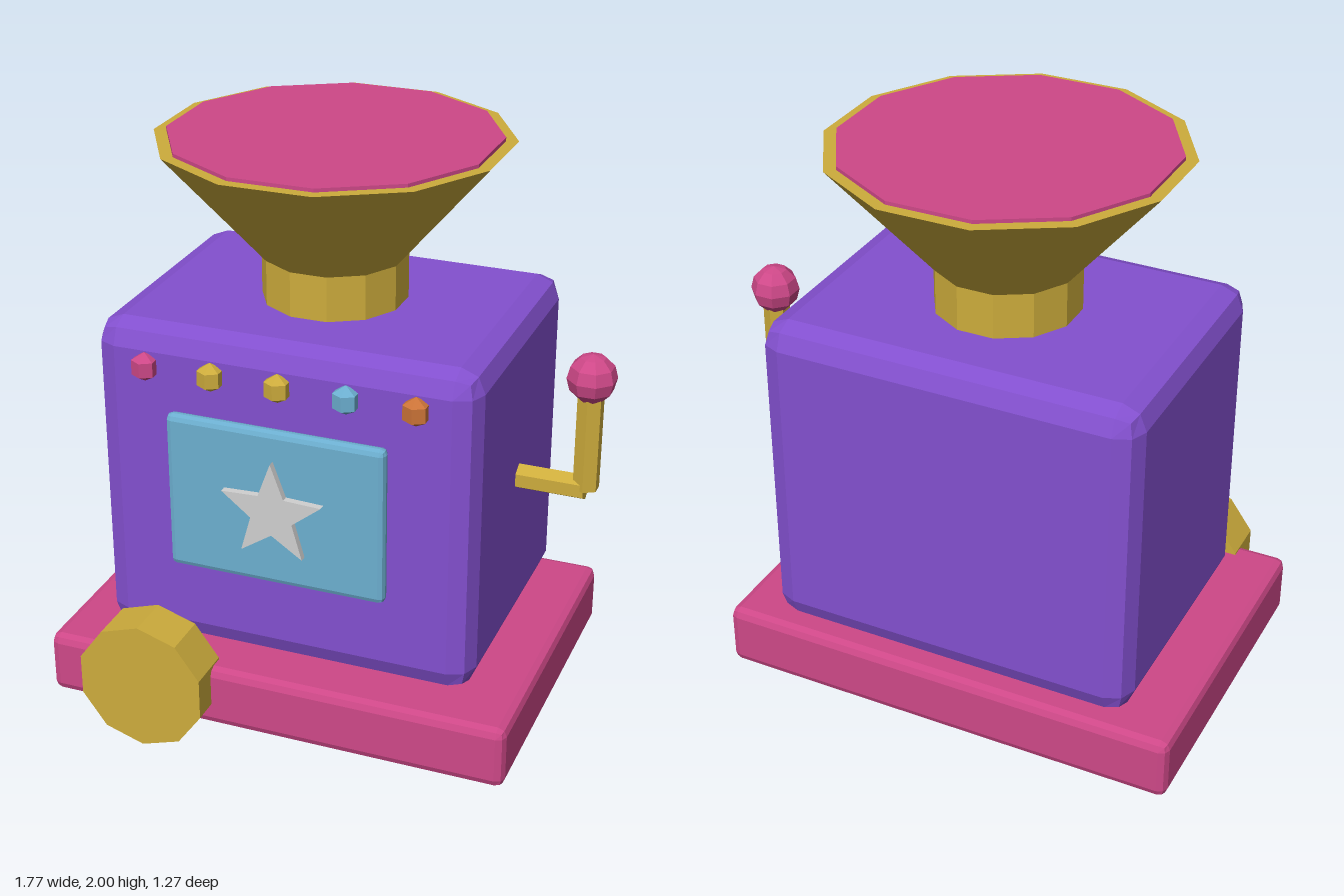
import * as THREE from 'three';
import { RoundedBoxGeometry } from 'three/addons/geometries/RoundedBoxGeometry.js';

export function createModel() {
  const model = new THREE.Group();
  model.name = 'crankMachine';

  const paint = (name, color) => {
    const m = new THREE.MeshStandardMaterial({ color, flatShading: true });
    m.name = name;
    return m;
  };
  const purple = paint('purple', 0x8350cf);
  const pink = paint('pink', 0xce4888);
  const gold = paint('gold', 0xcdac3c);
  const blue = paint('blue', 0x6cafd0);
  const orange = paint('orange', 0xcc7438);
  const silver = paint('silver', 0xd0d0d0);

  const add = (name, geometry, material, x, y, z) => {
    const mesh = new THREE.Mesh(geometry, material);
    mesh.name = name;
    mesh.position.set(x, y, z);
    model.add(mesh);
    return mesh;
  };

  const CX = -0.075, CZ = -0.065; // axis of the body and funnel

  // Base and body: boxes with faceted edges
  add('base', new RoundedBoxGeometry(1.63, 0.22, 1.14, 1, 0.03), pink, CX, 0.185, -0.02);
  add('body', new RoundedBoxGeometry(1.305, 1.14, 0.975, 1, 0.08), purple, CX, 0.875, CZ);

  // Funnel: twelve-sided, flats facing front and sides
  const prism = (rTop, rBottom, h) =>
    new THREE.CylinderGeometry(rTop, rBottom, h, 12).rotateY(Math.PI / 12);
  add('funnelNeck', prism(0.243, 0.243, 0.2), gold, CX, 1.5, CZ);
  add('funnel', prism(0.585, 0.243, 0.39), gold, CX, 1.793, CZ);
  add('funnelFill', prism(0.544, 0.544, 0.02), pink, CX, 1.99, CZ);

  // Front panel with a raised star
  add('panel', new RoundedBoxGeometry(0.75, 0.55, 0.05, 1, 0.02), blue, CX, 0.905, 0.452);
  const star = new THREE.Shape();
  for (let i = 0; i < 10; i++) {
    const r = i % 2 ? 0.075 : 0.18;
    const a = Math.PI / 2 + (i * Math.PI) / 5;
    star[i ? 'lineTo' : 'moveTo'](r * Math.cos(a), r * Math.sin(a));
  }
  star.closePath();
  add('star', new THREE.ExtrudeGeometry(star, { depth: 0.03, bevelEnabled: false }),
    silver, CX, 0.9, 0.471);

  // Row of gem-shaped lamps
  [pink, gold, gold, blue, orange].forEach((material, i) => {
    add('lamp' + (i + 1), new THREE.SphereGeometry(0.05, 6, 3).rotateY(Math.PI / 6),
      material, CX + (i - 2) * 0.23, 1.315, 0.43);
  });

  // Crank on the left side
  add('crankAxle', new THREE.CylinderGeometry(0.045, 0.045, 0.28, 6)
    .rotateY(Math.PI / 6).rotateZ(Math.PI / 2), gold, 0.667, 0.89, CZ);
  add('crankArm', new THREE.CylinderGeometry(0.045, 0.045, 0.36, 6), gold, 0.807, 1.07, CZ);
  add('crankKnob', new THREE.SphereGeometry(0.083, 8, 6).rotateY(Math.PI / 8),
    pink, 0.807, 1.285, CZ);

  // Ten-sided drum at the front
  add('frontDrum', new THREE.CylinderGeometry(0.23, 0.23, 0.16, 10).rotateX(Math.PI / 2),
    gold, -0.503, 0.23, 0.56);

  return model;
}
